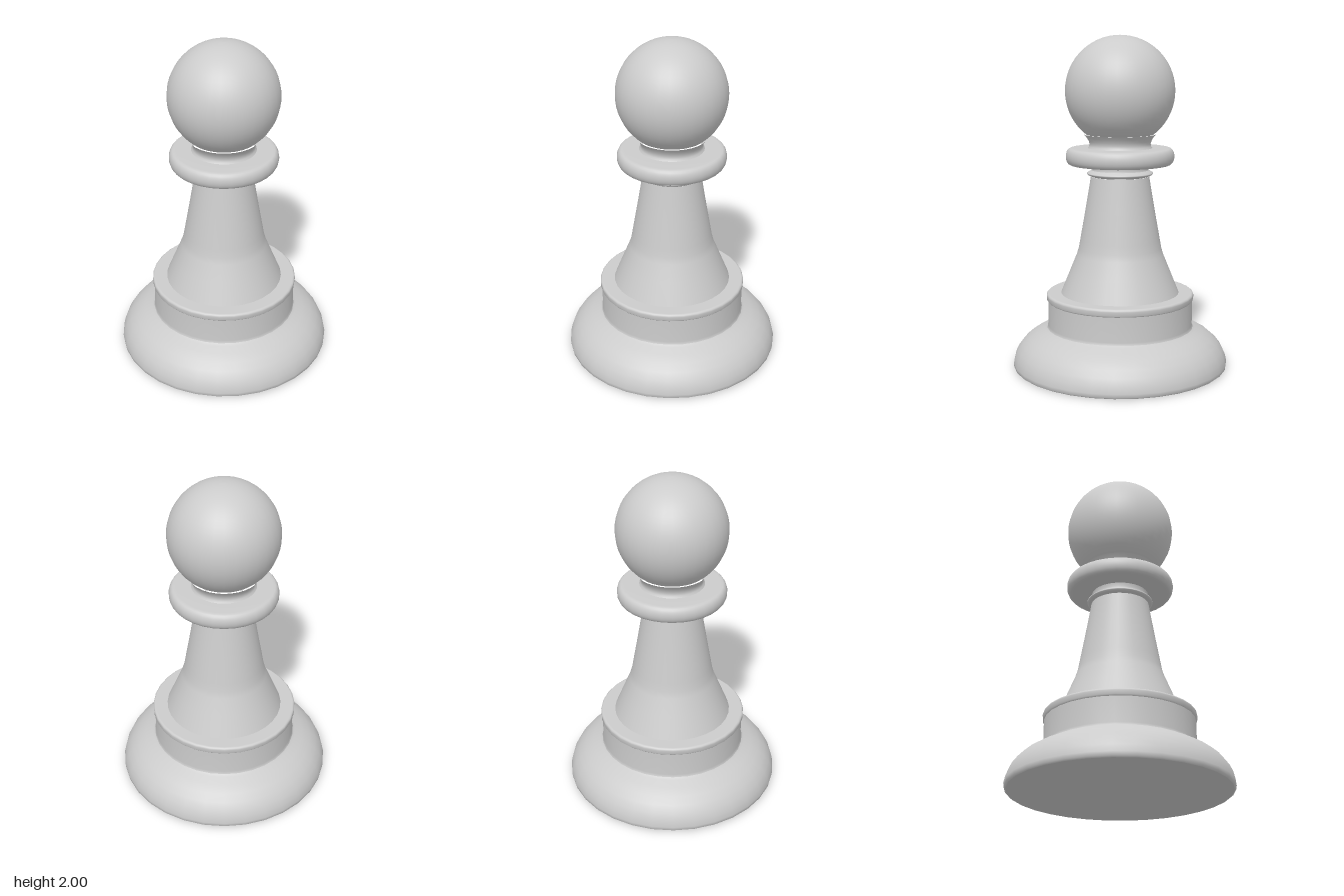
import * as THREE from 'three';

const SEGMENTS = 32;
const material = new THREE.MeshStandardMaterial({ color: 0xcccccc });

// Revolve a profile of [radius, height] pairs, listed from bottom to top
function turned(name, profile) {
  const points = profile.map(([r, y]) => new THREE.Vector2(r, y));
  const mesh = new THREE.Mesh(new THREE.LatheGeometry(points, SEGMENTS), material);
  mesh.name = name;
  return mesh;
}

// Profile points along an arc, angles in degrees from the horizontal
function arc(r, y, radiusX, radiusY, from, to, steps) {
  return Array.from({ length: steps + 1 }, (_, i) => {
    const a = THREE.MathUtils.degToRad(from + ((to - from) * i) / steps);
    return [Math.max(0, r + radiusX * Math.cos(a)), y + radiusY * Math.sin(a)];
  });
}

export function createModel() {
  const model = new THREE.Group();
  model.name = 'pawn';

  // Flat underside
  const underside = new THREE.Mesh(new THREE.CircleGeometry(0.64, SEGMENTS), material);
  underside.name = 'underside';
  underside.rotation.x = Math.PI / 2;
  model.add(underside);

  // Wide domed foot with a small rounded bottom edge
  model.add(turned('foot', [
    [0.64, 0], [0.65, 0.008], [0.652, 0.03], [0.643, 0.07], [0.625, 0.11],
    [0.595, 0.15], [0.555, 0.185], [0.505, 0.215], [0.46, 0.234], [0.445, 0.245],
  ]));

  // Straight drum and the rounded lip above it
  model.add(turned('drum', [[0.445, 0.245], [0.439, 0.26], [0.439, 0.41]]));
  model.add(turned('drumLip', [
    [0.439, 0.41], [0.446, 0.418], ...arc(0.432, 0.441, 0.015, 0.015, 0, 90, 4), [0.34, 0.455],
  ]));

  // Flared skirt tapering into the stem
  model.add(turned('stem', [
    [0.36, 0.45], [0.307, 0.58], [0.262, 0.69], [0.25, 0.73], [0.241, 0.78],
    [0.209, 0.96], [0.187, 1.09], [0.175, 1.165],
  ]));

  // Thin ring and the neck under the collar
  model.add(turned('neckRing', [
    [0.17, 1.165], [0.188, 1.172], [0.198, 1.18], [0.198, 1.186], [0.185, 1.194], [0.172, 1.203],
  ]));
  model.add(turned('lowerNeck', [[0.172, 1.203], [0.168, 1.215], [0.172, 1.236]]));

  // Collar with rounded rim
  model.add(turned('collar', [
    [0.16, 1.235], [0.285, 1.235],
    ...arc(0.295, 1.285, 0.03, 0.049, -80, 80, 10),
    [0.285, 1.335], [0.18, 1.335],
  ]));

  // Concave neck and ball head
  model.add(turned('upperNeck', [
    [0.195, 1.333], [0.185, 1.345], [0.183, 1.36], [0.188, 1.378], [0.2, 1.398], [0.215, 1.416],
  ]));
  model.add(turned('head', arc(0, 1.673, 0.327, 0.327, -52, 90, 24)));

  return model;
}
